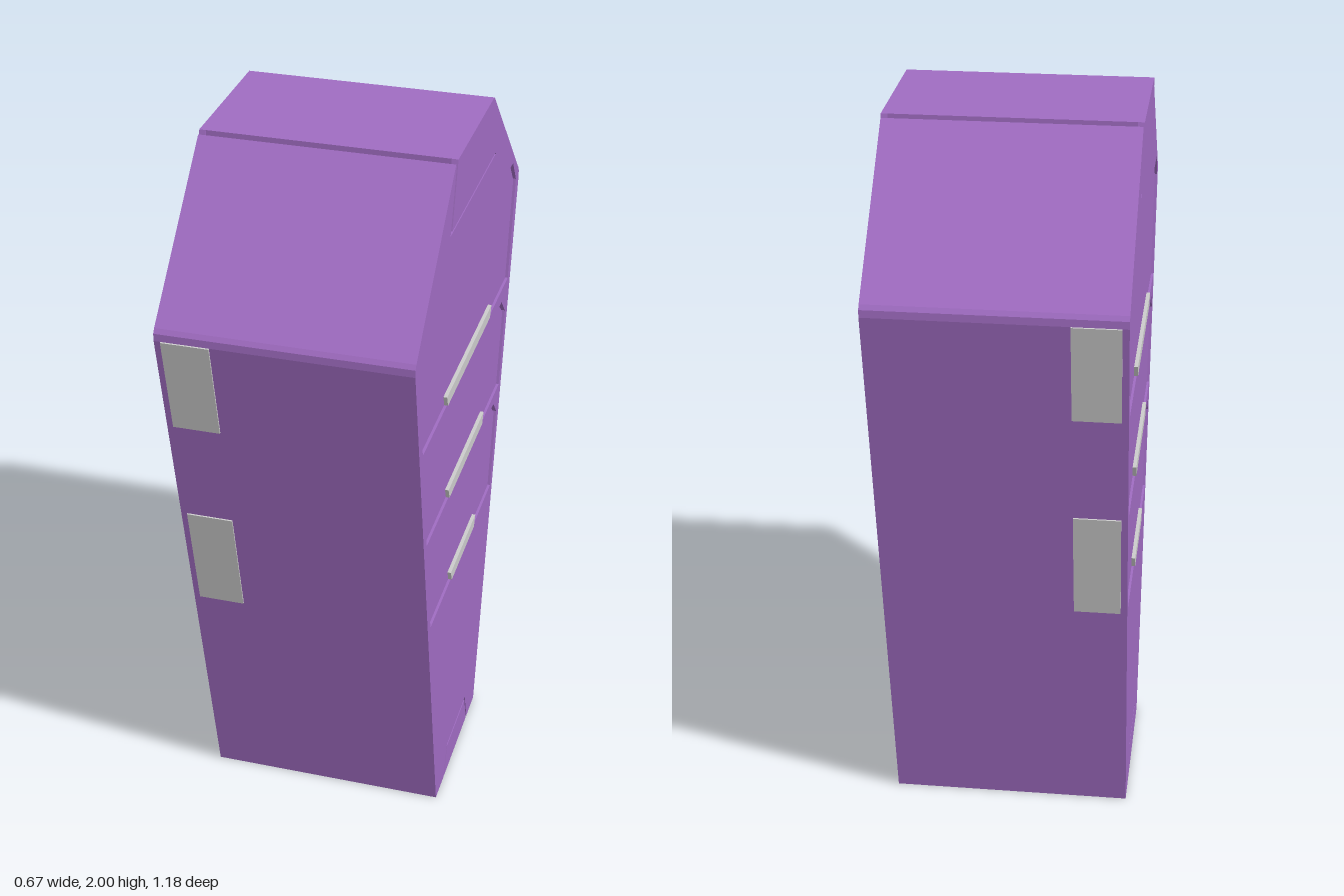
import * as THREE from 'three';

const W = 0.33;      // half width of the cabinet
const SKIN = 0.015;  // thickness of the side skins
const GAP = 0.008;   // seam around the panels

// half outlines as [z, y], mirrored across z = 0
const drawers = [
  { half: [[0.495, 1.33], [0.55, 1.615], [0.5, 1.685]], grip: 0.26 },
  { half: [[0.43, 1.015], [0.475, 1.235], [0.42, 1.29]], grip: 0.21 },
  { half: [[0.365, 0.705], [0.41, 0.935], [0.365, 0.985]], grip: 0.15 },
];

const mirrored = (half) =>
  [...half, ...half.slice().reverse().map(([z, y]) => [-z, y])].map(([z, y]) => new THREE.Vector2(z, y));

const inset = (half) => half.map(([z, y], i) =>
  [z - GAP, i === 0 ? y + GAP / 2 : i === half.length - 1 ? y - GAP : y]);

// extrudes a z/y shape along x from x0 to x1
function slab(name, shape, x0, x1, material) {
  const geo = new THREE.ExtrudeGeometry(shape, { depth: x1 - x0, bevelEnabled: false });
  geo.rotateY(Math.PI / 2);
  geo.translate(x0, 0, 0);
  const mesh = new THREE.Mesh(geo, material);
  mesh.name = name;
  return mesh;
}

export function createModel() {
  const model = new THREE.Group();
  model.name = 'coffinCabinet';
  const purple = new THREE.MeshStandardMaterial({ color: 0xa06cc2 });
  const grey = new THREE.MeshStandardMaterial({ color: 0xcccccc });

  // core with seams running across the top and bottom
  const core = [
    [0.14, 0], [0.14, 0.012], [0.148, 0.012], [0.148, 0], [0.24, 0],
    [0.588, 1.605], [0.588, 1.625], [0.58, 1.637],
    [0.215, 1.993], [0.208, 1.985], [0.2, 1.985], [0.2, 2],
  ];
  model.add(slab('body', new THREE.Shape(mirrored(core)), -W + SKIN, W - SKIN, purple));

  // outer skin, notched for the head and foot panels, with drawer openings
  const skin = new THREE.Shape(mirrored([
    [0.115, 0.098], [0.148, 0], [0.24, 0], [0.588, 1.605], [0.588, 1.625],
    [0.58, 1.637], [0.215, 1.993], [0.208, 1.985], [0.255, 1.818],
  ]));
  for (const d of drawers) skin.holes.push(new THREE.Path(mirrored(d.half)));

  const headPanel = new THREE.Shape(mirrored([[0.246, 1.828], [0.2, 2]]));
  const footPanel = new THREE.Shape(mirrored([[0.14, 0], [0.11, 0.09]]));

  for (const side of [1, -1]) {
    const group = new THREE.Group();
    group.name = side > 0 ? 'leftSide' : 'rightSide';
    const add = (name, shape, a, b, material) =>
      group.add(slab(name, shape, Math.min(side * a, side * b), Math.max(side * a, side * b), material));

    add('sideSkin', skin, W - SKIN, W, purple);
    add('headPanel', headPanel, W - SKIN, W + 0.002, purple);
    add('footPanel', footPanel, W - SKIN, W, purple);
    drawers.forEach(({ half, grip }, i) => {
      add(`drawer${i + 1}`, new THREE.Shape(mirrored(inset(half))), W - SKIN, W - 0.006, purple);
      // tapered pull along the bottom edge
      const y = half[0][1];
      const pull = new THREE.Shape(mirrored([[grip - 0.014, y + 0.002], [grip, y + 0.034]]));
      add(`handle${i + 1}`, pull, W - SKIN, W + 0.004, grey);
    });
    model.add(group);
  }

  // hinge plates lying on the sloping front and back
  const slope = Math.atan2(0.348, 1.605);
  for (const dir of [1, -1]) {
    for (const [y0, y1] of [[0.705, 1.02], [1.33, 1.605]]) {
      const y = (y0 + y1) / 2;
      const plate = new THREE.Mesh(
        new THREE.BoxGeometry(0.125, (y1 - y0) / Math.cos(slope), 0.008), grey);
      plate.position.set(-0.25, y, dir * (0.24 + y * Math.tan(slope)));
      plate.rotation.x = dir * slope;
      plate.name = dir > 0 ? 'frontHinge' : 'backHinge';
      model.add(plate);
    }
  }
  return model;
}
